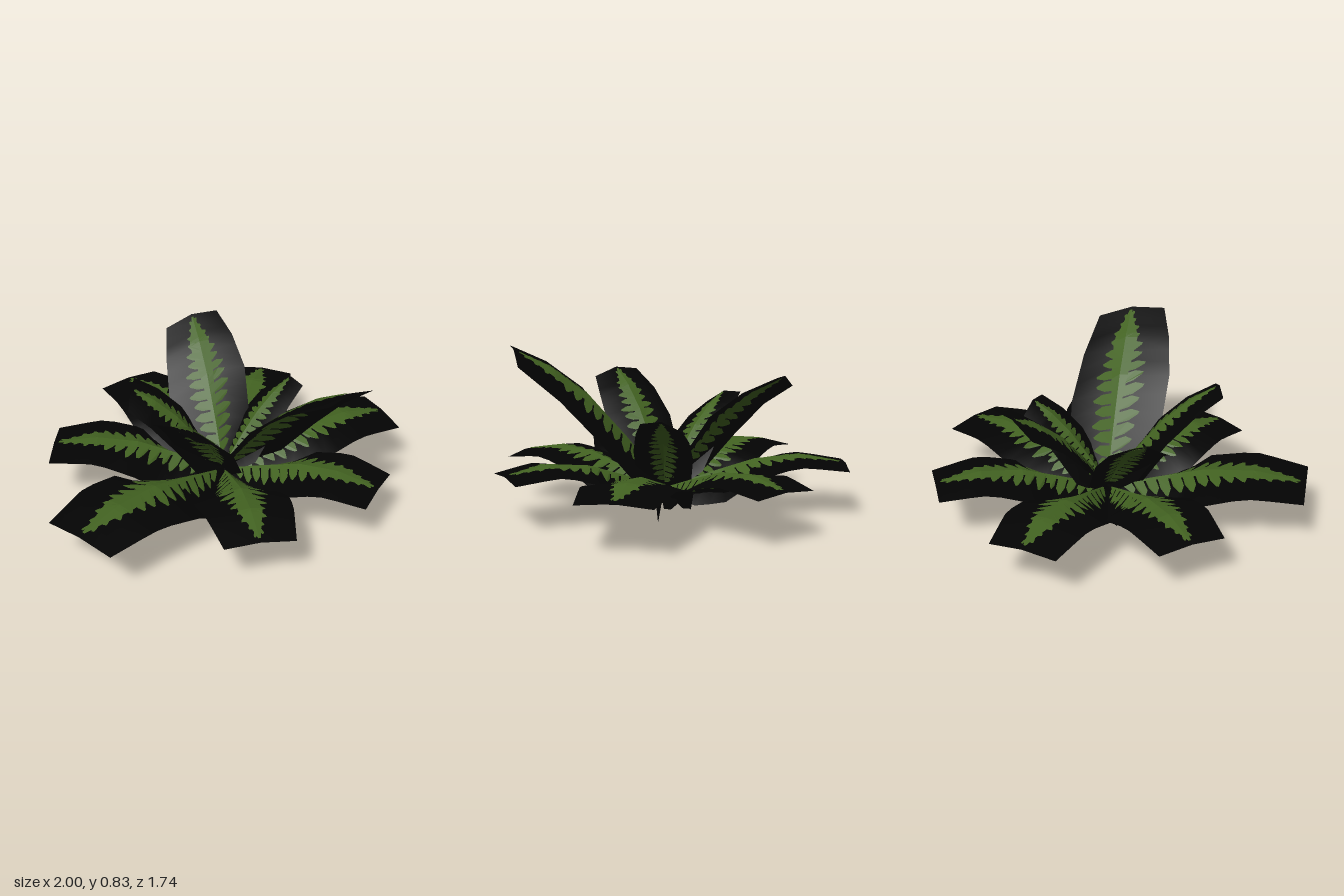
import * as THREE from 'three';

const leafBlack = new THREE.MeshStandardMaterial({ color: 0x030303, side: THREE.DoubleSide });
leafBlack.name = 'leaf black';
const frondGreen = new THREE.MeshStandardMaterial({ color: 0x426221, side: THREE.DoubleSide });
frondGreen.name = 'frond green';

const CENTRE = new THREE.Vector3(0.04, 0, 0.04);

// Linear lookup in a list of evenly spaced values
function lookup(list, t) {
  const f = THREE.MathUtils.clamp(t, 0, 1) * (list.length - 1);
  const i = Math.min(Math.floor(f), list.length - 2);
  return THREE.MathUtils.lerp(list[i], list[i + 1], f - i);
}

// Leaf outlines and frond pattern, from base to tip
const OUTER_OUTLINE = [0.1, 0.72, 1, 0.89, 0.72];
const INNER_OUTLINE = [0.18, 0.92, 1, 0.88, 0.68];
const REACH = [0.45, 0.5, 0.54, 0.34, 0.0];
const SOLID = [0.05, 0.06, 0.16, 0.28, 0.0];

// Returns the surface function of a folded, arched leaf: u along, v across (-1..1)
function leafSurface({ tip, width, outline, height, droop, roll }) {
  const dx = tip[0] - CENTRE.x, dz = tip[1] - CENTRE.z, len = Math.hypot(dx, dz);
  const sx = -dz / len, sz = dx / len;
  return (u, v) => {
    const w = width * lookup(outline, u) * v;
    return new THREE.Vector3(
      CENTRE.x + dx * u + sx * w,
      lookup(height, u) - lookup(droop, u) * Math.abs(v) + lookup(roll, u) * v,
      CENTRE.z + dz * u + sz * w);
  };
}

// Black leaf blade, three columns wide
function bladeGeometry(surface) {
  const rows = 12, pos = [], index = [];
  for (let i = 0; i <= rows; i++) {
    for (const v of [-1, 0, 1]) pos.push(...surface(i / rows, v).toArray());
    if (i === rows) break;
    for (let j = 0; j < 2; j++) {
      const a = i * 3 + j;
      index.push(a, a + 1, a + 3, a + 1, a + 4, a + 3);
    }
  }
  const g = new THREE.BufferGeometry();
  g.setAttribute('position', new THREE.Float32BufferAttribute(pos, 3));
  g.setIndex(index);
  g.computeVertexNormals();
  return g;
}

// Green frond lying on both faces of the blade
function frondGeometry(surface) {
  const pos = [];
  const lifted = (u, v, lift) => {
    const along = surface(u + 0.01, v).sub(surface(u - 0.01, v));
    const across = surface(u, v + 0.02).sub(surface(u, v - 0.02));
    return surface(u, v).addScaledVector(across.cross(along).normalize(), lift);
  };
  const polygon = (points, side) => {
    for (const lift of [0.004, -0.004]) {
      const p = points.map(([u, v]) => lifted(u, v * side, lift));
      for (let i = 1; i < p.length - 1; i++) {
        // keep the corner order facing outwards on both faces
        const tri = (lift > 0) === (side > 0) ? [p[0], p[i], p[i + 1]] : [p[0], p[i + 1], p[i]];
        for (const q of tri) pos.push(...q.toArray());
      }
    }
  };
  for (const side of [-1, 1]) {
    // Central rib, widening into the solid tip
    for (let i = 0; i < 27; i++) {
      const a = 0.06 + i * 0.034, b = Math.min(a + 0.034, 0.97);
      polygon([[a, 0], [a, lookup(SOLID, a)], [b, lookup(SOLID, b)], [b, 0]], side);
    }
    // Slanted leaflets
    for (let i = 0; i < 14; i++) {
      const u = 0.08 + i * 0.062 + (side > 0 ? 0.02 : 0);
      const r = lookup(REACH, u) * (i % 2 ? 1 : 0.9);
      polygon([[u - 0.026, 0.02], [u + 0.002, r * 0.6], [u + 0.036, r * 0.95], [u + 0.05, r],
        [u + 0.056, r * 0.65], [u + 0.026, 0.02]], side);
    }
  }
  const g = new THREE.BufferGeometry();
  g.setAttribute('position', new THREE.Float32BufferAttribute(pos, 3));
  g.computeVertexNormals();
  return g;
}

function makeLeaf(name, spec) {
  const leaf = new THREE.Group();
  leaf.name = name;
  const surface = leafSurface(spec);
  const blade = new THREE.Mesh(bladeGeometry(surface), leafBlack);
  blade.name = 'blade';
  const frond = new THREE.Mesh(frondGeometry(surface), frondGreen);
  frond.name = 'frond';
  leaf.add(blade, frond);
  return leaf;
}

export function createModel() {
  const plant = new THREE.Group();
  plant.name = 'fernPlant';

  // Seven low, spreading outer leaves: tip x, z, half width
  const outerTips = [[0.05, -0.87, 0.24], [0.735, -0.51, 0.235], [0.957, 0.25, 0.25],
    [0.41, 0.795, 0.235], [-0.315, 0.79, 0.235], [-0.955, 0.265, 0.28], [-0.64, -0.51, 0.24]];
  for (const [x, z, width] of outerTips) {
    plant.add(makeLeaf('outerLeaf', {
      tip: [x, z], width, outline: OUTER_OUTLINE,
      height: [0.11, 0.19, 0.262, 0.282, 0.245],
      droop: [0.03, 0.115, 0.13, 0.06, 0.03, 0.02, 0.015],
      roll: [0, 0],
    }));
  }

  // Five rising inner leaves: tip x, z, tip height, half width, droop, sideways tilt
  const innerTips = [
    [0.22, 0.765, 0.83, 0.265, 0.08, [0, 0.08, 0.1, 0.07, 0.035]],
    [0.26, -0.54, 0.71, 0.205, 0.05, [0, 0.05, 0.07, 0.05, 0.035]],
    [-0.31, -0.27, 0.56, 0.165, 0.06, [0, 0.03, 0.035]],
    [-0.46, 0.31, 0.67, 0.18, 0.06, [0, 0.015, 0.015]],
    [0.47, 0.05, 0.52, 0.145, 0.06, [0, 0.02, 0.02]],
  ];
  for (const [x, z, top, width, droop, roll] of innerTips) {
    plant.add(makeLeaf('innerLeaf', {
      tip: [x, z], width, roll, outline: INNER_OUTLINE,
      height: [0, 0.35, 0.65, 0.86, 1].map((f) => 0.12 + (top - 0.12) * f),
      droop: [0.04, droop + 0.03, droop, droop * 0.7, 0.03],
    }));
  }

  // Small withered leaf end hanging to the ground
  const g = new THREE.BufferGeometry();
  g.setAttribute('position', new THREE.Float32BufferAttribute(
    [0.18, 0.09, 0.05, 0.32, 0, 0.07, 0.36, 0.22, 0.09], 3));
  g.computeVertexNormals();
  const hanging = new THREE.Mesh(g, leafBlack);
  hanging.name = 'hangingLeafEnd';
  plant.add(hanging);

  return plant;
}
